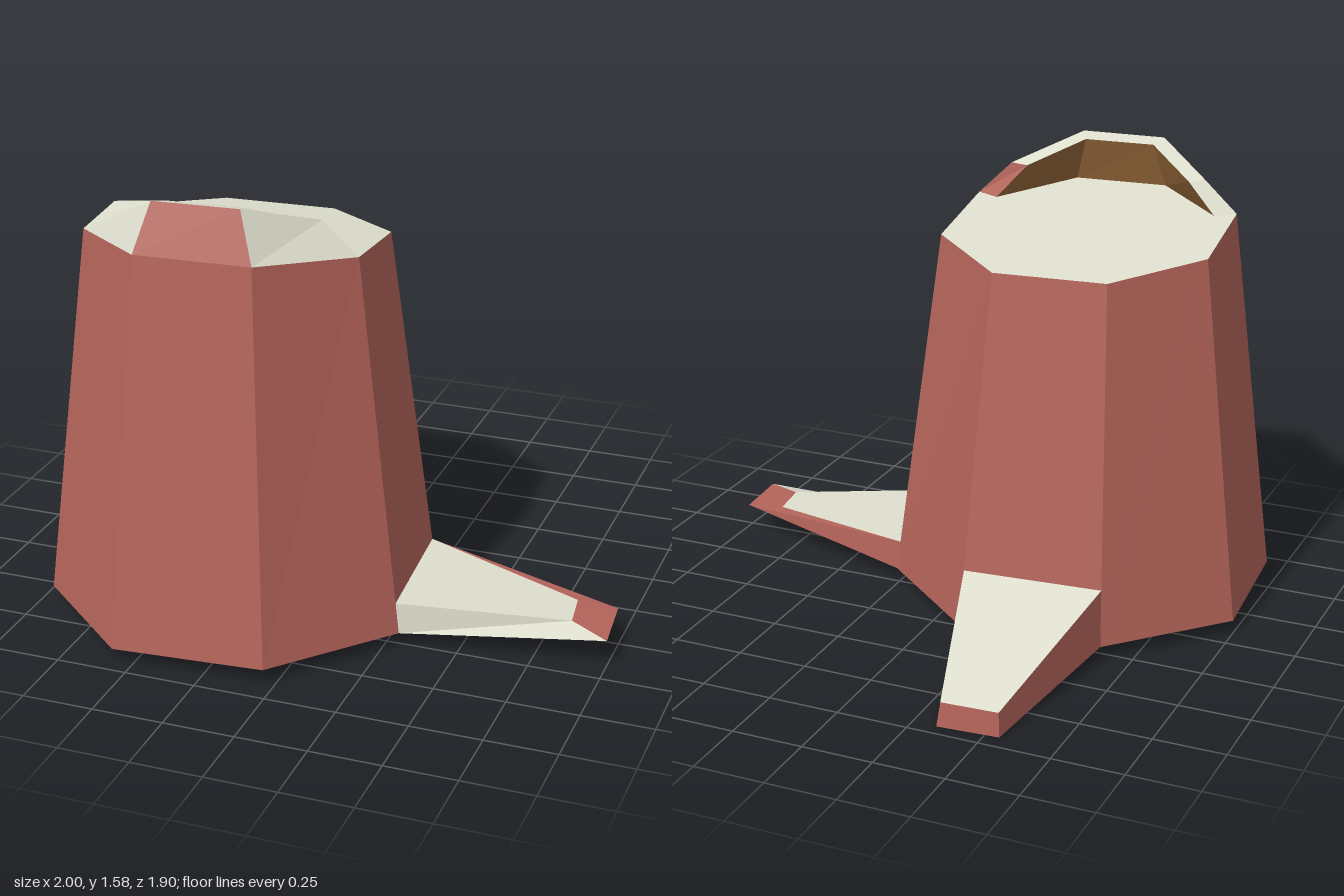
import * as THREE from 'three';

const paint = (name, color) => {
  const m = new THREE.MeshStandardMaterial({ color, side: THREE.DoubleSide });
  m.name = name;
  return m;
};

// Flat-shaded mesh from convex faces, each a counter-clockwise loop of points
function faces(name, material, loops) {
  const pos = [];
  for (const p of loops)
    for (let i = 1; i < p.length - 1; i++)
      for (const v of [p[0], p[i], p[i + 1]]) pos.push(...v);
  const g = new THREE.BufferGeometry();
  g.setAttribute('position', new THREE.Float32BufferAttribute(pos, 3));
  g.computeVertexNormals();
  const mesh = new THREE.Mesh(g, material);
  mesh.name = name;
  return mesh;
}

const lerp = (a, b, t) => a.map((v, i) => v + (b[i] - v) * t);

export function createModel() {
  const bark = paint('redBark', 0xb4645a);
  const wood = paint('paleWood', 0xdedfce);
  const inner = paint('brownWood', 0x96683a);
  const model = new THREE.Group();
  model.name = 'treeStump';

  // Trunk rings: eight corners, starting at -x and running through +z
  const base = [[-1, 0.08], [-0.96, 0.61], [-0.57, 0.95], [-0.04, 0.91],
    [0.3, 0.52], [0.26, 0], [-0.14, -0.34], [-0.65, -0.3]].map(([x, z]) => [x, 0.05, z]);
  const top = [[-0.84, 0.14], [-0.81, 0.54], [-0.51, 0.8], [-0.11, 0.77],
    [0.14, 0.47], [0.11, 0.07], [-0.19, -0.18], [-0.59, -0.15]]
    .map(([x, z]) => [x, 1.314 + 0.122 * z, z]);

  // Roots grow out of one trunk side each; h is how far up that side they start
  const roots = [
    { name: 'leftRoot', side: 4, h: 0.083, nearSide: wood,
      tipTop: [[0.86, 0.115, 0.35], [0.84, 0.115, 0.2]],
      tipLow: [[1, 0.1, 0.42], [0.98, 0.103, 0.19]] },
    { name: 'backRoot', side: 6, h: 0.16, nearSide: bark,
      tipTop: [[-0.345, 0.085, -0.945], [-0.545, 0.085, -0.935]],
      tipLow: [[-0.335, 0, -0.955], [-0.55, 0, -0.94]] },
  ];

  // Trunk walls, left open where a root joins, and open underneath
  const walls = base.map((b, i) => {
    const j = (i + 1) % 8;
    const root = roots.find(r => r.side === i);
    const h = root ? root.h : 0;
    return [lerp(b, top[i], h), lerp(base[j], top[j], h), top[j], top[i]];
  });
  model.add(faces('trunkBark', bark, walls));
  model.add(faces('cutTop', wood, [top]));

  // Hollow tapering roots
  for (const { name, side, nearSide, tipTop: [t0, t1], tipLow: [l0, l1] } of roots) {
    const [u0, u1] = walls[side];
    const b0 = base[side], b1 = base[side + 1];
    const root = new THREE.Group();
    root.name = name;
    root.add(faces(name + 'Top', wood, [[u0, t0, t1, u1]]));
    root.add(faces(name + 'NearSide', nearSide, [[b0, l0, t0, u0]]));
    root.add(faces(name + 'FarSide', bark, [[l1, b1, u1, t1]]));
    root.add(faces(name + 'Tip', bark, [[l0, l1, t1, t0]]));
    model.add(root);
  }

  // Raised splintered rim along the front three sides
  const foot = top.slice(1, 5);
  const ridge = [[-0.69, 1.49, 0.54], [-0.47, 1.575, 0.73], [-0.17, 1.575, 0.71], [0.02, 1.49, 0.485]];
  const ridgeIn = [[-0.64, 1.485, 0.51], [-0.45, 1.56, 0.67], [-0.2, 1.56, 0.65], [-0.04, 1.485, 0.485]];
  const footIn = [[-0.74, 1.375, 0.5], [-0.484, 1.4, 0.72], [-0.15, 1.398, 0.7], [0.06, 1.368, 0.44]];
  const rim = new THREE.Group();
  rim.name = 'frontRim';
  for (let i = 0; i < 3; i++) {
    const j = i + 1;
    rim.add(faces('rimOuter' + j, i === 1 ? bark : wood, [[foot[i], foot[j], ridge[j], ridge[i]]]));
    rim.add(faces('rimTop' + j, wood, [[ridge[i], ridge[j], ridgeIn[j], ridgeIn[i]]]));
    rim.add(faces('rimInner' + j, inner, [[footIn[j], footIn[i], ridgeIn[i], ridgeIn[j]]]));
  }
  rim.add(faces('rimRightEnd', wood, [[foot[0], ridge[0], ridgeIn[0], footIn[0]]]));
  rim.add(faces('rimLeftEnd', bark, [[foot[3], footIn[3], ridgeIn[3], ridge[3]]]));
  model.add(rim);

  return model;
}
